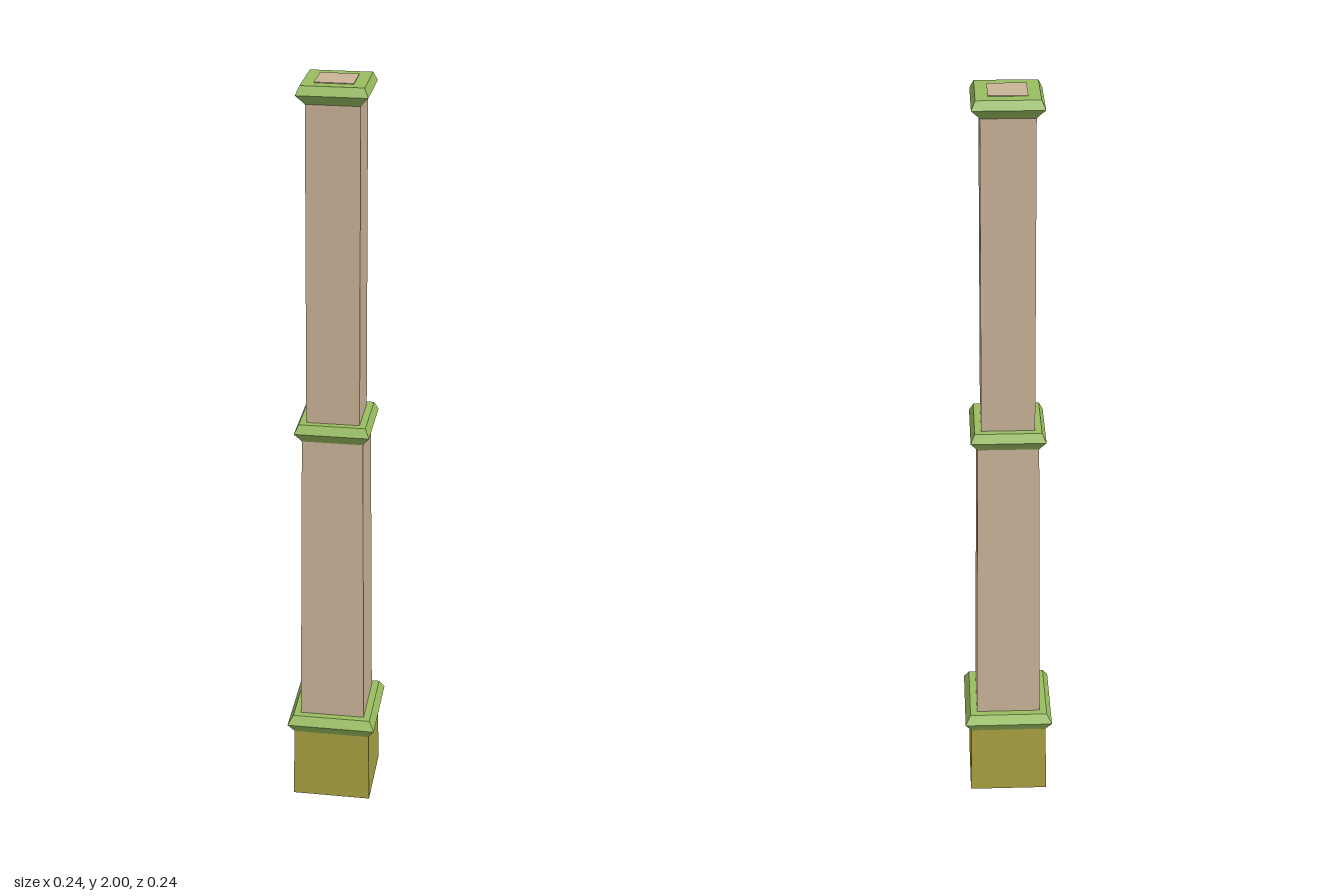
import * as THREE from 'three';

const stone = new THREE.MeshStandardMaterial({ color: 0xcbb499 });
stone.name = 'beige stone';
const green = new THREE.MeshStandardMaterial({ color: 0x98bd5f });
green.name = 'green trim';
const olive = new THREE.MeshStandardMaterial({ color: 0xaaa240 });
olive.name = 'olive base';

// Square, faceted solid from [half width, height] points, bottom to top
function squareSolid(name, material, profile) {
  const points = [[0, profile[0][1]], ...profile, [0, profile[profile.length - 1][1]]]
    .map(([half, y]) => new THREE.Vector2(half * Math.SQRT2, y));
  const geometry = new THREE.LatheGeometry(points, 4).rotateY(Math.PI / 4).toNonIndexed();
  geometry.computeVertexNormals();
  const mesh = new THREE.Mesh(geometry, material);
  mesh.name = name;
  return mesh;
}

// Moulded collar: undercut foot, flared lip, bevelled top
function collar(name, top, height, foot, lip, rim) {
  const bottom = top - height;
  return squareSolid(name, green, [
    [foot, bottom],
    [foot + (lip - foot) * 0.35, bottom + height * 0.2],
    [lip, bottom + height * 0.54],
    [rim, top],
  ]);
}

export function createModel() {
  const group = new THREE.Group();
  group.name = 'squareColumn';
  group.add(
    squareSolid('base', olive, [[0.106, 0], [0.102, 0.21]]),
    squareSolid('lowerShaft', stone, [[0.087, 0.23], [0.079, 1.09]]),
    squareSolid('upperShaft', stone, [[0.069, 1.1], [0.067, 1.97]]),
    collar('baseCollar', 0.253, 0.053, 0.102, 0.119, 0.105),
    collar('middleCollar', 1.12, 0.05, 0.079, 0.097, 0.086),
    collar('topCollar', 1.998, 0.048, 0.067, 0.088, 0.078),
    // Small inset square on the very top
    squareSolid('topPlate', stone, [[0.048, 1.994], [0.048, 2]]),
  );
  return group;
}
